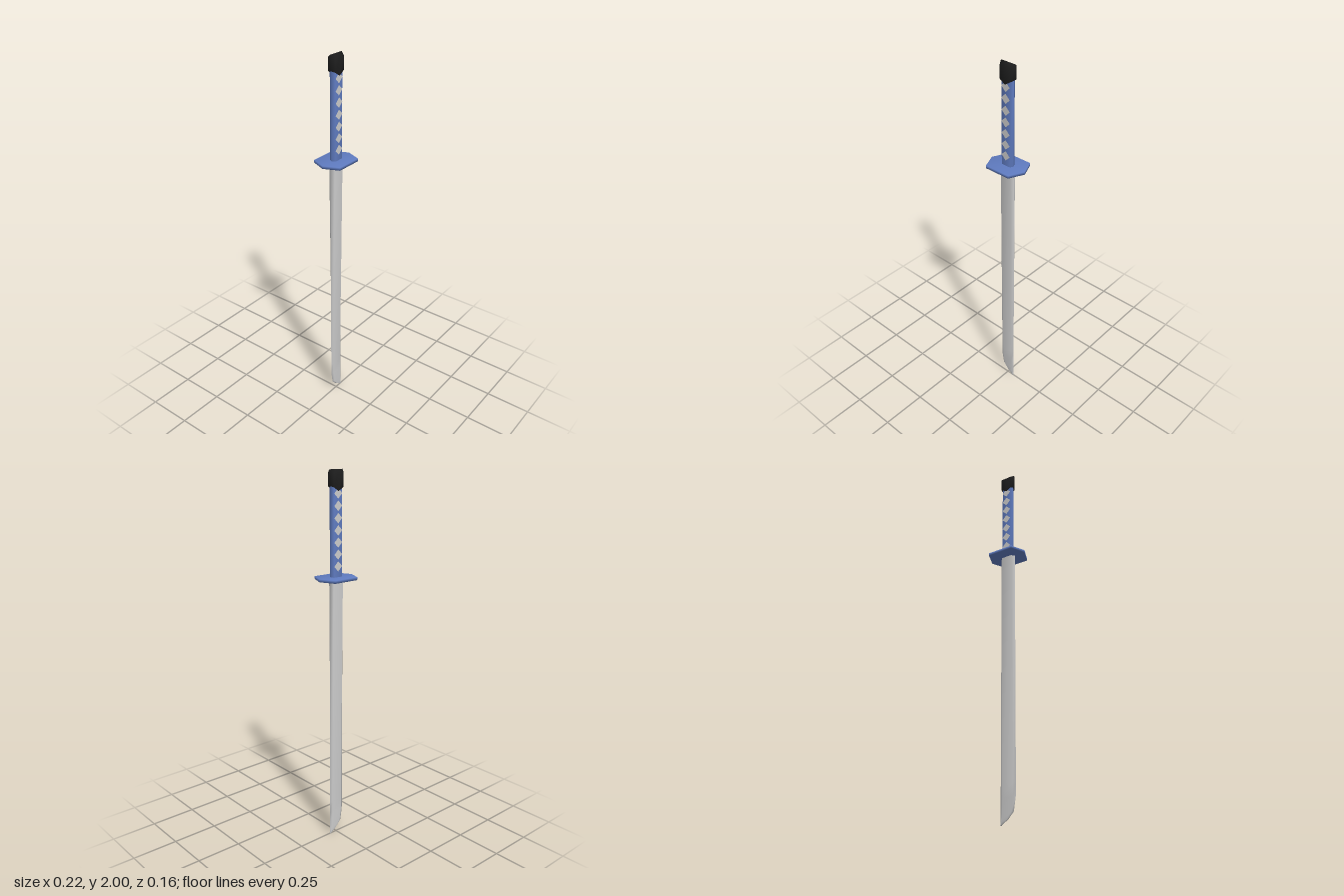
import * as THREE from 'three';

const GREY = new THREE.MeshStandardMaterial({ color: 0xcccccc });
const BLUE = new THREE.MeshStandardMaterial({ color: 0x5f7bc0 });
const BLACK = new THREE.MeshStandardMaterial({ color: 0x1e1e1e });

// Closed solid through rings of [x, y, z] points, listed from bottom to top.
// Each ring runs from +x towards +z; the caps are fans about the given heights.
function loft(rings, bottomY, topY) {
  const n = rings[0].length;
  const last = rings.length - 1;
  const points = rings.flat();
  const index = [];
  for (let i = 0; i < last; i++) {
    for (let j = 0; j < n; j++) {
      const a = i * n + j, b = i * n + (j + 1) % n;
      index.push(a, a + n, b, b, a + n, b + n);
    }
  }
  const centre = (ring) => ring.reduce((sum, p) => sum + p[0], 0) / n;
  const bottom = points.push([centre(rings[0]), bottomY, 0]) - 1;
  const top = points.push([centre(rings[last]), topY, 0]) - 1;
  for (let j = 0; j < n; j++) {
    const k = (j + 1) % n;
    index.push(bottom, j, k, top, last * n + k, last * n + j);
  }
  const geometry = new THREE.BufferGeometry();
  geometry.setAttribute('position', new THREE.Float32BufferAttribute(points.flat(), 3));
  geometry.setIndex(index);
  geometry.computeVertexNormals();
  return geometry;
}

// Long hexagon section from x0 to x1, half thickness t, pointed ends of length bevel
const hexagon = (x0, x1, t, bevel, y) => [
  [x1, y, 0], [x1 - bevel, y, t], [x0 + bevel, y, t],
  [x0, y, 0], [x0 + bevel, y, -t], [x1 - bevel, y, -t],
];

export function createModel() {
  const group = new THREE.Group();
  const add = (name, geometry, material) => {
    const mesh = new THREE.Mesh(geometry, material);
    mesh.name = name;
    group.add(mesh);
    return mesh;
  };

  // Blade: thins towards the tip, cutting edge on -x sweeps across to the spine
  const spine = 0.043;
  const edge = [[0, 0.04], [0.012, 0.022], [0.025, 0], [0.06, -0.033], [0.13, -0.044], [0.2, -0.045], [1.46, -0.045]];
  const bladeRings = edge.map(([y, x]) =>
    hexagon(x, spine, 0.004 + 0.014 * y / 1.46, 0.15 * (spine - x), y));
  add('blade', loft(bladeRings, 0, 1.46), GREY);

  // Guard plate
  const plate = [1.456, 1.471].map((y) => hexagon(-0.108, 0.108, 0.081, 0.035, y));
  add('guard', loft(plate, 1.456, 1.471), BLUE);

  // Grip
  const grip = [1.465, 1.94].map((y) => hexagon(-0.035, 0.035, 0.017, 0.009, y));
  add('grip', loft(grip, 1.465, 1.94), BLUE);

  // Diamond inlays on both faces of the grip
  const r = 0.026;
  const diamond = new THREE.CircleGeometry(r, 4);
  for (const side of [1, -1]) {
    for (let i = 0; i < 7; i++) {
      const inlay = add('gripDiamond', diamond, GREY);
      inlay.position.set(0, 1.526 + i * 0.06, side * 0.0178);
      if (side < 0) inlay.rotation.y = Math.PI;
    }
  }

  // Pommel: V-shaped lower rim and a ridge along the top
  const outline = [[0.043, 0], [0.031, 0.022], [0, 0.022], [-0.031, 0.022],
    [-0.043, 0], [-0.031, -0.022], [0, -0.022], [0.031, -0.022]];
  const lower = outline.map(([x, z]) => [x, 1.897 + 0.028 * Math.abs(x) / 0.043, z]);
  const upper = outline.map(([x, z]) => [x, z === 0 ? 2 : 1.985, z]);
  add('pommel', loft([lower, upper], 1.9, 2), BLACK);

  return group;
}
